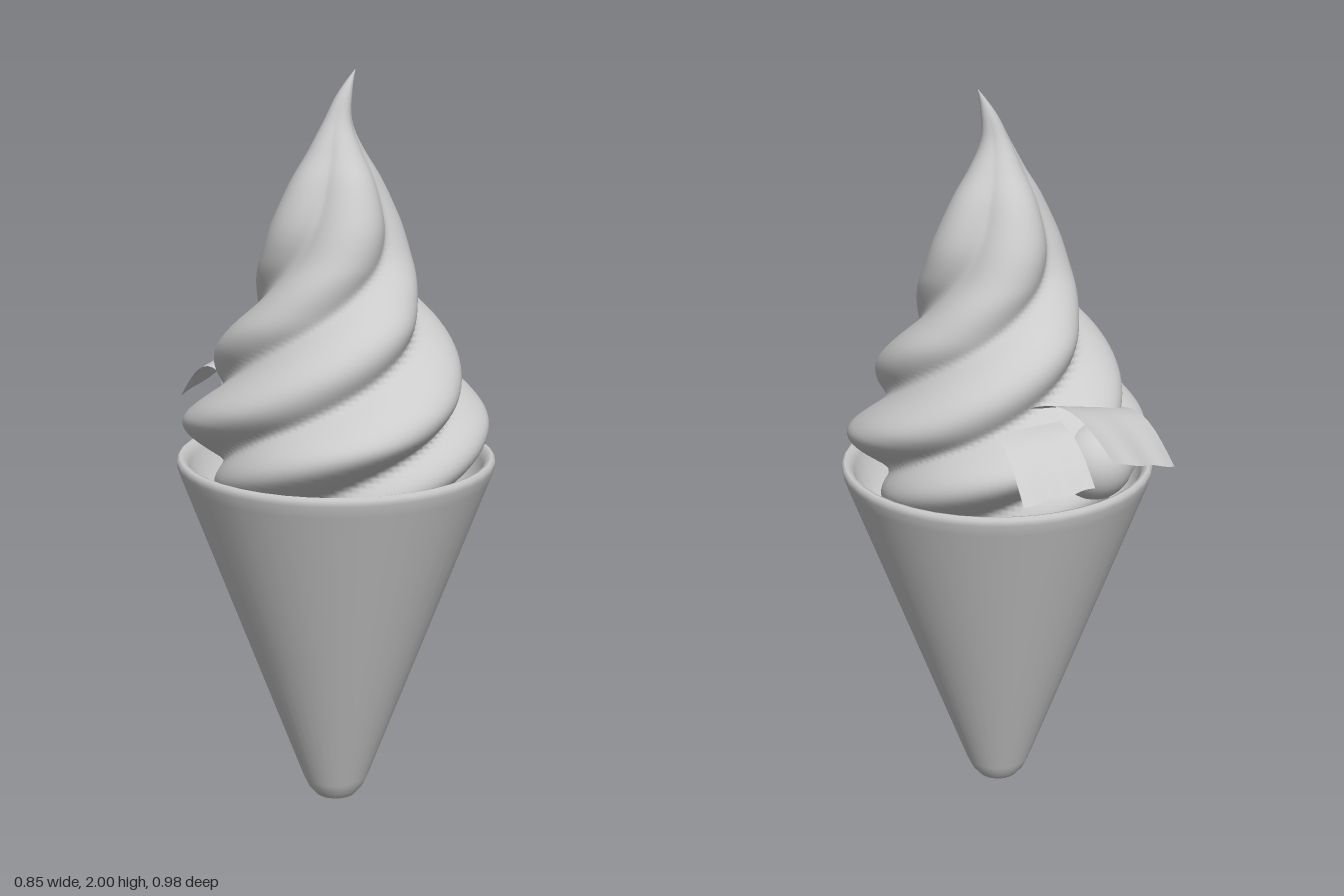
import * as THREE from 'three';
import { mergeVertices } from 'three/addons/utils/BufferGeometryUtils.js';

const V2 = (x, y) => new THREE.Vector2(x, y);
const AXIS_Z = 0.063;

const mat = () => new THREE.MeshStandardMaterial({ color: 0xcccccc, side: THREE.DoubleSide });

function addMesh(group, name, geometry, x = 0, y = 0, z = 0) {
  const mesh = new THREE.Mesh(geometry, mat());
  mesh.name = name;
  mesh.position.set(x, y, z);
  group.add(mesh);
  return mesh;
}

// Round-tipped hollow cone with a soft lip
function coneGeometry() {
  const profile = [[0, 0], [0.03, 0.004], [0.058, 0.018], [0.076, 0.04], [0.09, 0.07],
    [0.25, 0.505], [0.412, 0.945], [0.423, 0.978], [0.423, 0.993], [0.415, 1.0],
    [0.402, 0.996], [0.39, 0.975], [0.34, 0.84], [0, 0.84]];
  return new THREE.LatheGeometry(profile.map(p => V2(...p)), 40);
}

// Swirl: four round lobes twisted around the axis, straightening into a hooked tip
function swirlGeometry() {
  const outline = new THREE.SplineCurve([[0.3, 0.88], [0.37, 0.98], [0.405, 1.08], [0.39, 1.15],
    [0.34, 1.24], [0.28, 1.35], [0.232, 1.43], [0.198, 1.52], [0.172, 1.62], [0.128, 1.72],
    [0.077, 1.8], [0.04, 1.87], [0.02, 1.94], [0.001, 2.0]].map(p => V2(...p)));
  const points = [V2(0, 0.88), ...outline.getPoints(110)];
  let geo = new THREE.LatheGeometry(points, 112);
  geo.deleteAttribute('uv');
  geo.deleteAttribute('normal');
  const pos = geo.attributes.position;
  const rate = Math.PI / 2 / 0.22;
  for (let i = 0; i < pos.count; i++) {
    const x = pos.getX(i), y = pos.getY(i), z = pos.getZ(i);
    const d = y - 1.5;
    const twist = rate * ((d < 0 ? d : 0.11 * (1 - Math.exp(-d / 0.11))) - 0.065);
    const wave = Math.sqrt(Math.cos(2 * (Math.atan2(x, z) - twist)) ** 2 + 0.01);
    const depth = 0.24 * THREE.MathUtils.smoothstep(2.02 - y, 0, 0.35);
    const k = 1 - depth * (1 - wave);
    const hook = 0.05 * Math.max(0, (y - 1.82) / 0.18) ** 2;
    pos.setXYZ(i, x * k + hook, y, z * k);
  }
  geo = mergeVertices(geo, 1e-5);
  geo.computeVertexNormals();
  return geo;
}

// Leaf: arched sheet between four corners (base left/right, tip left/right)
function leafGeometry(corners, arch, ripple) {
  const [bl, br, tl, tr] = corners.map(c => new THREE.Vector3(...c));
  const geo = new THREE.PlaneGeometry(1, 1, 10, 10);
  const pos = geo.attributes.position;
  const p = new THREE.Vector3(), q = new THREE.Vector3();
  for (let i = 0; i < pos.count; i++) {
    const u = pos.getX(i) + 0.5, v = 0.5 - pos.getY(i);
    p.lerpVectors(bl, br, u);
    q.lerpVectors(tl, tr, u);
    p.lerp(q, v);
    p.y += arch * Math.sin(Math.PI * v);
    p.z += ripple * v * Math.sin(u * Math.PI * 4);
    pos.setXYZ(i, p.x, p.y, p.z);
  }
  geo.computeVertexNormals();
  return geo;
}

export function createModel() {
  const model = new THREE.Group();
  model.name = 'softServeCone';

  addMesh(model, 'cone', coneGeometry(), 0, 0, AXIS_Z);
  addMesh(model, 'creamSwirl', swirlGeometry(), 0, 0, AXIS_Z);

  // Two berries tucked into the back of the swirl
  addMesh(model, 'largeBerry', new THREE.SphereGeometry(0.1, 28, 20), -0.125, 1.1, -0.29);
  addMesh(model, 'smallBerry', new THREE.SphereGeometry(0.073, 28, 20), 0.01, 1.1, -0.295);

  // Leaves draped over the berries
  addMesh(model, 'largeLeaf', leafGeometry([
    [-0.245, 1.17, -0.13], [0.03, 1.24, -0.22], [-0.32, 1.08, -0.36], [-0.085, 1.17, -0.49],
  ], 0.062, -0.006));
  addMesh(model, 'smallLeaf', leafGeometry([
    [-0.04, 1.21, -0.26], [0.14, 1.2, -0.26], [-0.06, 1.09, -0.435], [0.135, 1.07, -0.44],
  ], 0.03, 0.006));

  return model;
}
